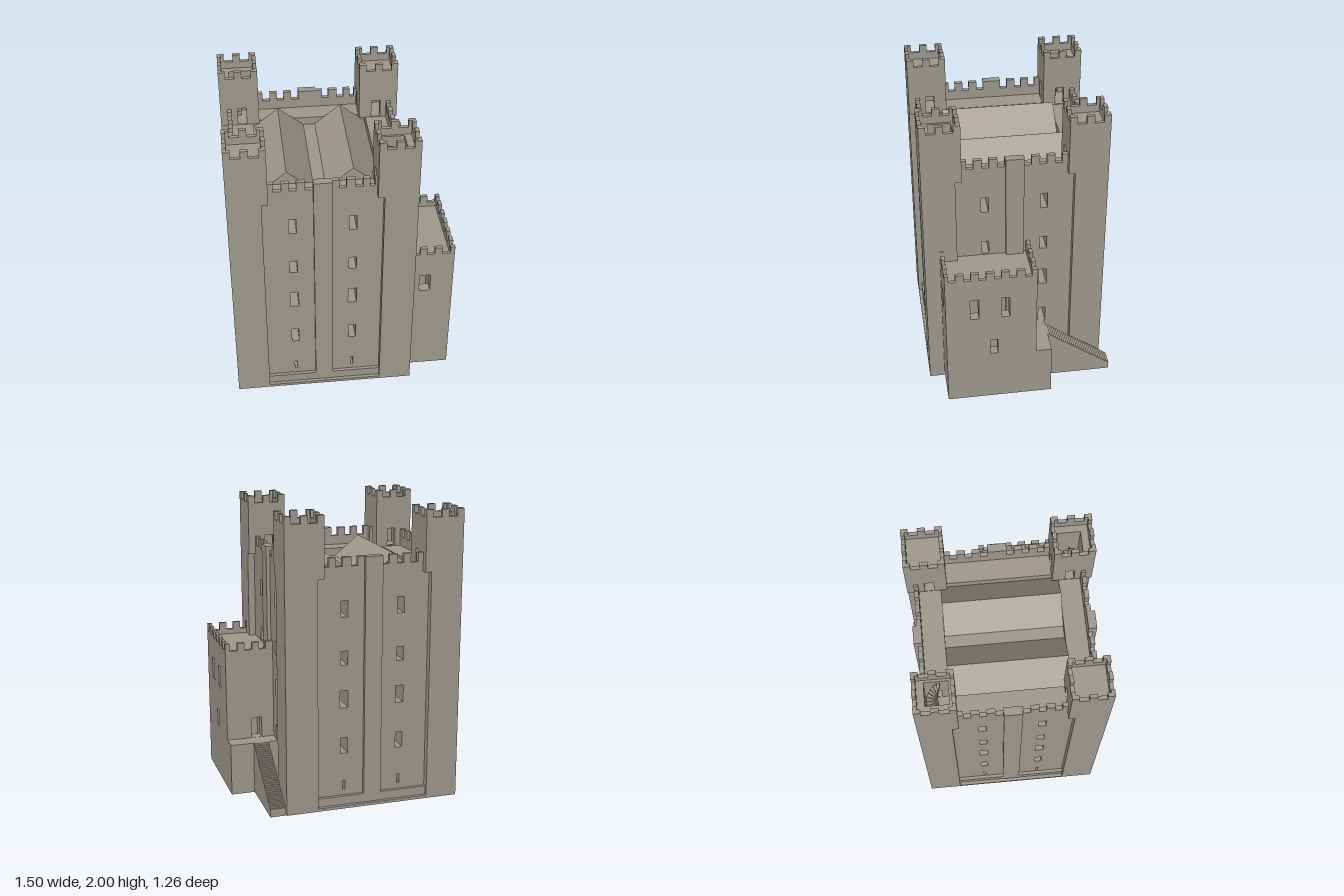
import * as THREE from 'three';

const stone = new THREE.MeshStandardMaterial({ color: 0xa09a8f });
stone.name = 'stone';

function add(parent, name, geometry) {
  const mesh = new THREE.Mesh(geometry, stone);
  mesh.name = name;
  parent.add(mesh);
  return mesh;
}

// Box given by its lower and upper limits on each axis
function box(parent, name, x0, x1, y0, y1, z0, z1) {
  const g = new THREE.BoxGeometry(x1 - x0, y1 - y0, z1 - z0);
  return add(parent, name, g.translate((x0 + x1) / 2, (y0 + y1) / 2, (z0 + z1) / 2));
}

function polygon(points) {
  return new THREE.Shape(points.map(p => new THREE.Vector2(p[0], p[1])));
}

const extrude = (shape, depth) => new THREE.ExtrudeGeometry(shape, { depth, bevelEnabled: false });
const rect = (x0, x1, y0, y1) => [[x0, y0], [x1, y0], [x1, y1], [x0, y1]];

// Upright slab in the xy plane with rectangular openings [x0, x1, y0, y1]
function panel(x0, x1, y0, y1, depth, openings) {
  const shape = polygon(rect(x0, x1, y0, y1));
  for (const o of openings) shape.holes.push(new THREE.Path(polygon(rect(...o)).getPoints()));
  return extrude(shape, depth);
}

// Parapet with a toothed top; gaps are listed from left to right
function parapet(x0, x1, y0, yGap, yTop, depth, gaps) {
  const pts = [[x1, y0], [x0, y0], [x0, yTop]];
  for (const [a, b] of gaps) pts.push([a, yTop], [a, yGap], [b, yGap], [b, yTop]);
  pts.push([x1, yTop]);
  return extrude(polygon(pts), depth);
}

// Turns a slab so that its length runs along z and its thickness lies below x = 0
const turn = g => g.rotateY(-Math.PI / 2);

const WALK = 1.59, IN = 0.3875, OUT = 0.6065, COL = 0.195;
const rows = [[0.12, 0.185, 0.009], [0.38, 0.49, 0.024], [0.7, 0.82, 0.028], [0.995, 1.09, 0.024], [1.32, 1.43, 0.024]];
const frontGaps = [[-0.31, -0.26], [-0.21, -0.165], [-0.11, -0.06], [0.105, 0.15], [0.21, 0.255], [0.3, 0.33]];
const sideGaps = [[-0.31, -0.265], [-0.21, -0.165], [-0.11, -0.0625], [0.0625, 0.11], [0.165, 0.21], [0.265, 0.31]];
const mirrored = gaps => gaps.map(([a, b]) => [-b, -a]).reverse();

// One curtain wall facing +z
function curtainWall(gaps) {
  const g = new THREE.Group();
  g.name = 'curtainWall';
  const windows = [];
  for (const s of [-COL, COL]) for (const [y0, y1, w] of rows) windows.push([s - w, s + w, y0, y1]);
  add(g, 'wall', panel(-IN, IN, 0.01, WALK, 0.56 - IN, windows).translate(0, 0, IN));
  box(g, 'plinth', -IN, IN, 0.01, 0.08, 0.55, 0.583);
  box(g, 'pilaster', -0.06, 0.06, 0.01, 1.715, 0.535, 0.585);
  add(g, 'wallParapet', parapet(-0.345, 0.345, WALK - 0.01, 1.655, 1.715, 0.03, gaps).translate(0, 0, 0.53));
  return g;
}

// One corner tower standing at +x, +z
function cornerTower(hasStair) {
  const g = new THREE.Group();
  g.name = 'cornerTower';
  const a = 0.345, b = 0.385, c = 0.535, floor = 1.9, mid = (a + OUT) / 2;
  box(g, 'towerShaft', IN, OUT, 0, WALK, IN, OUT);
  box(g, 'upperOuterWall', c, OUT, WALK, floor, a, OUT);
  box(g, 'upperOuterWall', a, c, WALK, floor, c, OUT);
  const door = [[0.43, 0.49, WALK + 0.005, 1.72]];
  add(g, 'doorWall', panel(a, c, WALK, floor, b - a, door).translate(0, 0, a));
  add(g, 'doorWall', turn(panel(b, c, WALK, floor, b - a, door)).translate(b, 0, 0));
  if (!hasStair) box(g, 'towerRoof', b, c, floor - 0.02, floor, b, c);

  // Battlements on all four sides
  const h = (OUT - a) / 2;
  for (let k = 0; k < 4; k++) {
    const p = parapet(-h, h, floor, 1.95, 2, 0.025, [[-0.085, -0.025], [0.025, 0.085]]);
    p.translate(0, 0, h - 0.025).rotateY(k * Math.PI / 2).translate(mid, 0, mid);
    add(g, 'towerParapet', p);
  }

  // Winding stair fanning out round a central post
  if (hasStair) {
    const n = 12, r = 0.074, sweep = Math.PI * 1.15;
    for (let i = 0; i < n; i++) {
      const t0 = -0.2 + sweep * i / n, t1 = -0.2 + sweep * (i + 1) / n;
      const wedge = polygon([[0, 0], [r * Math.cos(t0), r * Math.sin(t0)], [r * Math.cos(t1), r * Math.sin(t1)]]);
      const step = extrude(wedge, 0.03).rotateX(Math.PI / 2);
      add(g, 'windingStep', step.translate(0.462, 1.63 + i * 0.022, 0.455));
    }
  }
  return g;
}

function keep() {
  const g = new THREE.Group();
  g.name = 'keep';
  box(g, 'baseSlab', -OUT, OUT, 0, 0.02, -OUT, OUT);
  const gapSets = [frontGaps, sideGaps, mirrored(frontGaps), sideGaps];
  for (let k = 0; k < 4; k++) {
    for (const part of [curtainWall(gapSets[k]), cornerTower(k % 2 === 0)]) {
      part.rotation.y = k * Math.PI / 2;
      g.add(part);
    }
  }
  // Cross wall with openings under the central gutter
  const openings = [];
  for (const s of [-COL, COL]) for (const r of [rows[1], rows[4]]) openings.push([s - 0.03, s + 0.03, r[0], r[1]]);
  add(g, 'crossWall', turn(panel(-IN, IN, 0.02, 1.52, 0.08, openings)).translate(0.04, 0, 0));
  // Twin gabled roof
  const eave = 1.535, ridge = 1.68;
  const profile = polygon([[-IN, 1.5], [IN, 1.5], [IN, eave], [0.215, ridge], [0.04, eave],
    [-0.04, eave], [-0.215, ridge], [-IN, eave]]);
  add(g, 'twinRoof', extrude(profile, 2 * IN).translate(0, 0, -IN));
  g.position.set(-0.145, 0, 0.022);
  return g;
}

function forebuilding() {
  const g = new THREE.Group();
  g.name = 'forebuilding';
  const x0 = 0.415, x1 = 0.745, z0 = -0.08, z1 = 0.525, y0 = 0.025, roof = 0.985, t = 0.07;
  add(g, 'frontWall', panel(0.45, x1, y0, roof, t, [[0.515, 0.59, 0.705, 0.84]]).translate(0, 0, z1 - t));
  add(g, 'backWall', panel(x0, x1, y0, roof, t, [[0.5, 0.57, 0.386, 0.53]]).translate(0, 0, z0));
  add(g, 'sideWall', turn(panel(z0 + t, z1 - t, y0, roof, t,
    [[0.305, 0.362, 0.705, 0.862], [0.1, 0.155, 0.705, 0.862], [0.18, 0.232, 0.4, 0.515]])).translate(x1, 0, 0));
  box(g, 'forebuildingRoof', x0, x1 - 0.01, roof - 0.02, roof, z0 + 0.01, z1 - 0.01);
  box(g, 'forebuildingFloor', x0, x1 - 0.01, y0, y0 + 0.03, z0 + 0.01, z1 - 0.01);

  // Battlements
  const gapsX = [[0.465, 0.51], [0.56, 0.61], [0.66, 0.715]];
  const gapsZ = [];
  for (let i = 0; i < 6; i++) gapsZ.push([-0.045 + i * 0.1, 0.0 + i * 0.1]);
  add(g, 'frontParapet', parapet(0.45, x1, roof, 1.02, 1.07, 0.025, gapsX).translate(0, 0, z1 - 0.025));
  add(g, 'backParapet', parapet(x0, x1, roof, 1.02, 1.07, 0.025, gapsX).translate(0, 0, z0));
  add(g, 'sideParapet', turn(parapet(z0, z1, roof, 1.02, 1.07, 0.025, gapsZ)).translate(x1, 0, 0));

  // Landing and outside stair
  box(g, 'landing', x0, x1, y0, 0.385, -0.187, z0);
  const n = 30, zFoot = -0.63, zTop = -0.187, low = 0.07;
  const pts = [[zTop, y0], [zFoot, y0]];
  for (let i = 0; i < n; i++) {
    const y = low + (0.385 - low) * (i + 1) / n;
    pts.push([zFoot + (zTop - zFoot) * i / n, y], [zFoot + (zTop - zFoot) * (i + 1) / n, y]);
  }
  add(g, 'outsideStair', turn(extrude(polygon(pts), 0.105)).translate(0.585, 0, 0));
  return g;
}

export function createModel() {
  const model = new THREE.Group();
  model.name = 'castleKeep';
  model.add(keep(), forebuilding());
  return model;
}
